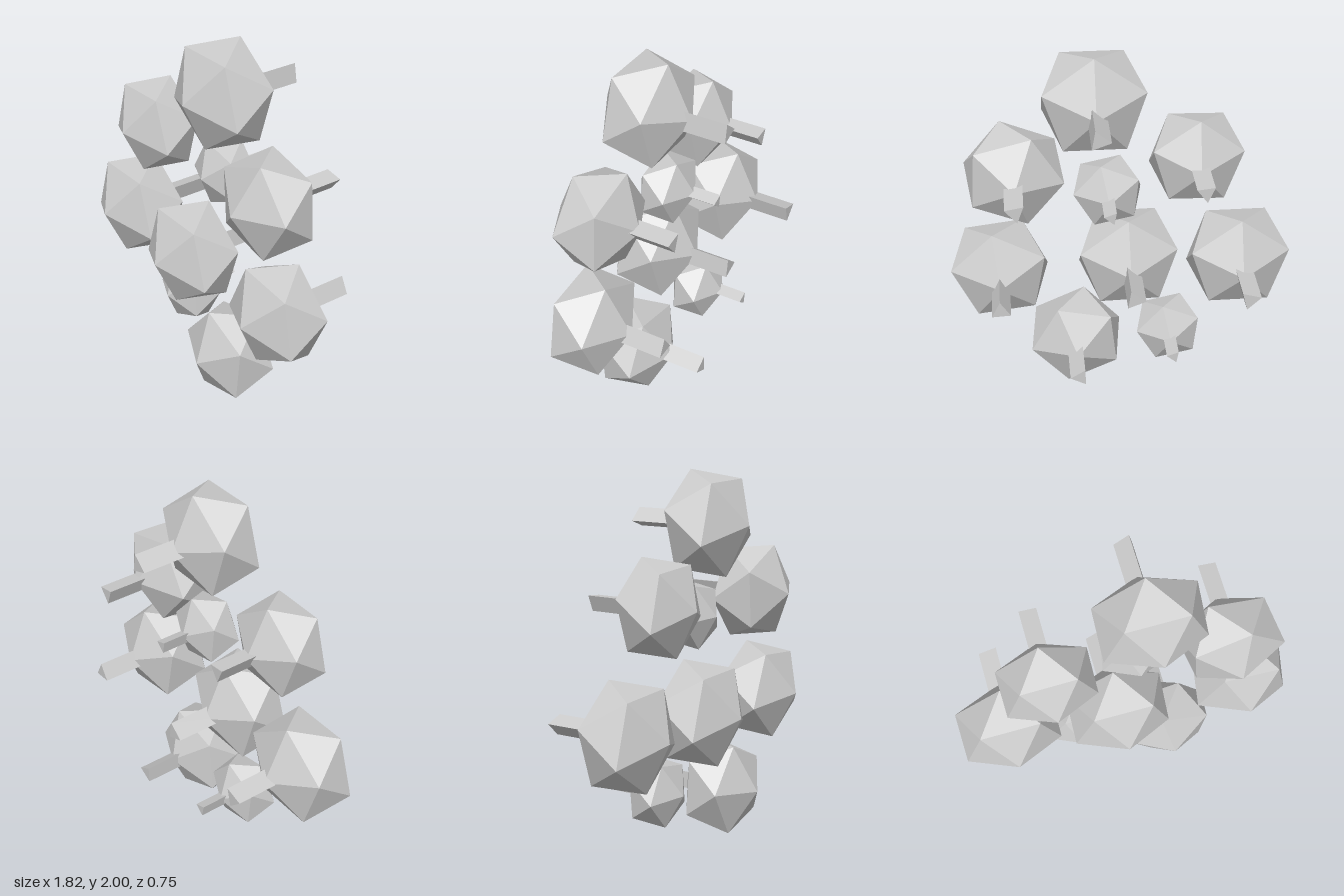
import * as THREE from 'three';

const rad = THREE.MathUtils.degToRad;
const DEPTH = 0.785; // nuggets are slightly flattened front to back

// x, y, z of the centre, radius, roll in degrees
const NUGGETS = [
  [0.13, 1.723, 0.064, 0.31, 0],
  [-0.41, 1.362, 0.098, 0.278, 73.5],
  [0.55, 1.305, 0.102, 0.292, -50],
  [0.067, 1.24, -0.006, 0.203, 60],
  [-0.65, 0.753, 0.064, 0.31, 216],
  [-0.053, 0.743, 0.128, 0.31, -1],
  [0.648, 0.719, 0.106, 0.298, 137],
  [-0.267, 0.347, -0.008, 0.203, 60],
  [0.241, 0.25, 0.094, 0.284, 48],
];

export function createModel() {
  const model = new THREE.Group();
  model.name = 'nuggetCluster';
  const material = new THREE.MeshStandardMaterial({ color: 0xcccccc, flatShading: true });

  // Icosahedron with one corner pointing to the front
  const nuggetGeometry = new THREE.IcosahedronGeometry(1, 0);
  nuggetGeometry.rotateX(Math.atan(2 / (1 + Math.sqrt(5))));
  nuggetGeometry.scale(1, 1, DEPTH);

  // Three-sided peg running backwards from inside the nugget
  const back = 1.43, inner = 0.3;
  const pegGeometry = new THREE.CylinderGeometry(0.193, 0.193, back - inner, 3);
  pegGeometry.rotateX(Math.PI / 2);
  pegGeometry.rotateZ(rad(40));
  pegGeometry.translate(0, 0, -(back + inner) / 2);

  NUGGETS.forEach(([x, y, z, radius, roll], i) => {
    const unit = new THREE.Group();
    unit.name = `nuggetUnit${i + 1}`;
    const nugget = new THREE.Mesh(nuggetGeometry, material);
    nugget.name = 'nugget';
    const peg = new THREE.Mesh(pegGeometry, material);
    peg.name = 'backPeg';
    unit.add(nugget, peg);
    unit.position.set(x, y, z);
    unit.rotation.z = rad(roll);
    unit.scale.setScalar(radius);
    model.add(unit);
  });
  return model;
}
